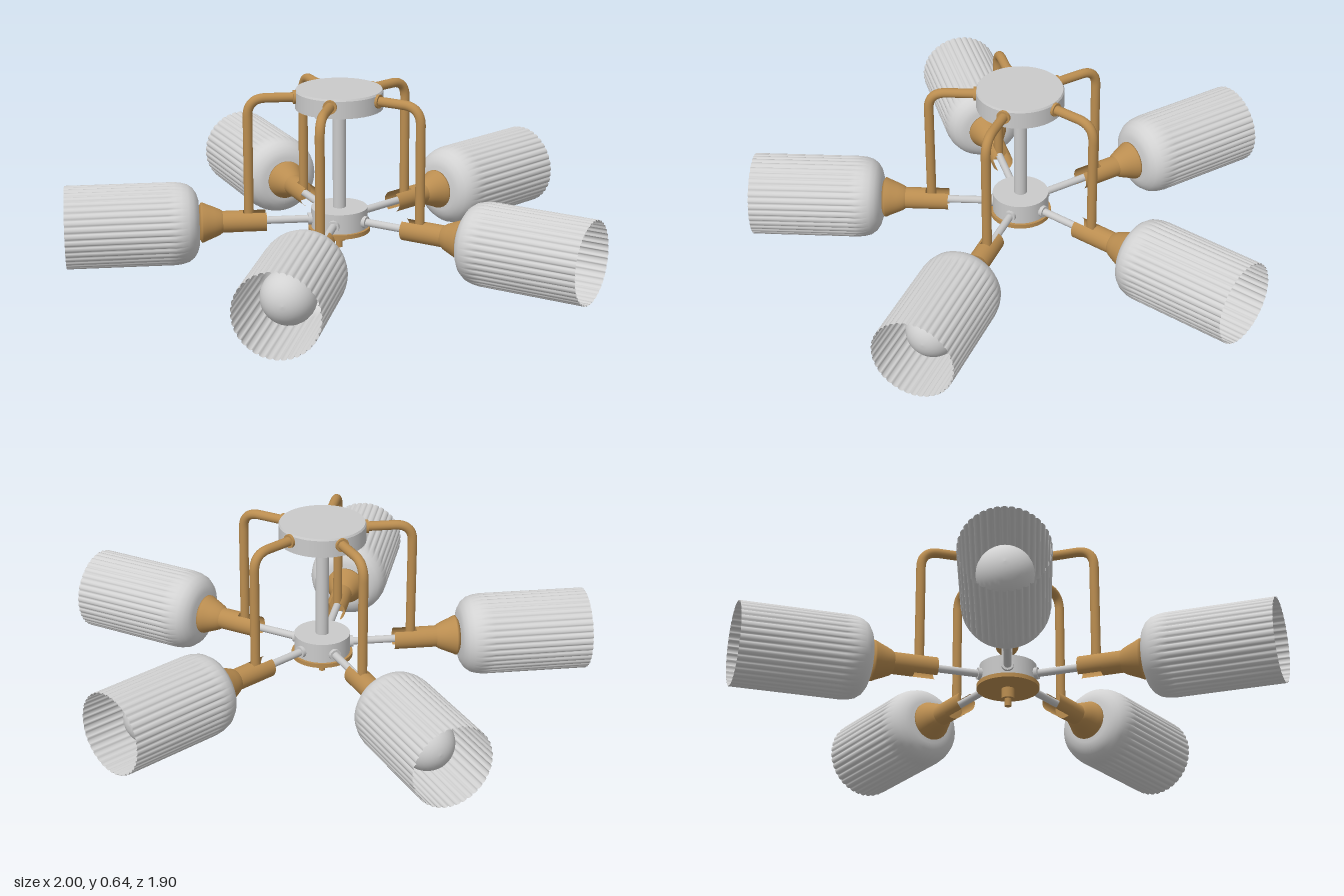
import * as THREE from 'three';

const brass = new THREE.MeshStandardMaterial({ color: 0xba8d50, side: THREE.DoubleSide });
brass.name = 'brass';
const steel = new THREE.MeshStandardMaterial({ color: 0xcacaca });
steel.name = 'paleMetal';
const glass = new THREE.MeshStandardMaterial({ color: 0xd2d2d2, side: THREE.DoubleSide });
glass.name = 'frostedGlass';

const AXIS_Y = 0.153; // height of the lamp axes
const CENTRE_Z = 0.049;
const RIBS = 38;

function add(parent, name, geometry, material) {
  const mesh = new THREE.Mesh(geometry, material);
  mesh.name = name;
  parent.add(mesh);
  return mesh;
}

// Upright cylinder between two heights
function post(parent, name, r, y0, y1, material, rTop = r) {
  const mesh = add(parent, name, new THREE.CylinderGeometry(rTop, r, y1 - y0, 40), material);
  mesh.position.y = (y0 + y1) / 2;
  return mesh;
}

// Cylinder lying along local +z between two distances
function rod(parent, name, r, z0, z1, y, material) {
  const geo = new THREE.CylinderGeometry(r, r, z1 - z0, 24).rotateX(Math.PI / 2);
  const mesh = add(parent, name, geo, material);
  mesh.position.set(0, y, (z0 + z1) / 2);
  return mesh;
}

// Lathe whose profile is [radius, distance along local +z]
function latheOut(points, segments) {
  const profile = points.map(([r, z]) => new THREE.Vector2(r, z));
  return new THREE.LatheGeometry(profile, segments).rotateX(Math.PI / 2);
}

// Domed shade with ribs pressed into its straight wall
function shadeGeometry() {
  const geo = latheOut([
    [0.03, 0.515], [0.085, 0.517], [0.108, 0.524], [0.128, 0.537], [0.142, 0.556],
    [0.149, 0.58], [0.152, 0.605], [0.152, 0.63], [0.152, 0.8], [0.152, 1.0],
  ], RIBS * 6);
  const p = geo.attributes.position;
  for (let i = 0; i < p.count; i++) {
    const x = p.getX(i), y = p.getY(i);
    const strength = THREE.MathUtils.smoothstep(p.getZ(i), 0.575, 0.63);
    const wave = Math.abs(Math.sin(Math.atan2(y, x) * RIBS / 2));
    const k = 1 - 0.04 * strength * (1 - Math.sqrt(wave));
    p.setXY(i, x * k, y * k);
  }
  geo.computeVertexNormals();
  return geo;
}

// Bracket tube bending from the canopy down to the lamp holder
function bracketGeometry() {
  const path = new THREE.CurvePath();
  const v = (y, z) => new THREE.Vector3(0, y, z);
  path.add(new THREE.LineCurve3(v(0.618, 0.12), v(0.618, 0.265)));
  path.add(new THREE.QuadraticBezierCurve3(v(0.618, 0.265), v(0.618, 0.333), v(0.55, 0.333)));
  path.add(new THREE.LineCurve3(v(0.55, 0.333), v(0.155, 0.333)));
  return new THREE.TubeGeometry(path, 70, 0.0175, 16);
}

function createArm(shade, bracket) {
  const arm = new THREE.Group();
  arm.name = 'arm';
  add(arm, 'bracketTube', bracket, brass);
  rod(arm, 'bracketCollar', 0.025, 0.14, 0.168, 0.618, brass);
  rod(arm, 'spoke', 0.014, 0.08, 0.36, AXIS_Y, steel);
  rod(arm, 'spokeCollar', 0.022, 0.09, 0.116, AXIS_Y, steel);

  const lamp = new THREE.Group();
  lamp.name = 'lamp';
  lamp.position.y = AXIS_Y;
  arm.add(lamp);

  // Forked sleeve: two curved prongs running into a flared cup
  for (const start of [0.5, Math.PI + 0.5]) {
    const geo = new THREE.CylinderGeometry(0.04, 0.04, 0.09, 16, 1, true, start, Math.PI - 1);
    add(lamp, 'holderProng', geo.rotateX(Math.PI / 2).translate(0, 0, 0.315), brass);
  }
  rod(lamp, 'holderSleeve', 0.04, 0.355, 0.445, 0, brass);
  add(lamp, 'holderCup', latheOut([
    [0.04, 0.43], [0.047, 0.44], [0.056, 0.46], [0.066, 0.485],
    [0.074, 0.502], [0.074, 0.508], [0.06, 0.516], [0, 0.518],
  ], 32), brass);

  add(lamp, 'shade', shade, glass);

  // Bulb: round globe narrowing to a neck
  const bulb = [[0.035, 0.515], [0.035, 0.63], [0.04, 0.68], [0.055, 0.73]];
  for (let i = 0; i <= 14; i++) {
    const a = THREE.MathUtils.lerp(0.7, Math.PI, i / 14);
    bulb.push([0.096 * Math.sin(a), 0.82 - 0.096 * Math.cos(a)]);
  }
  add(lamp, 'bulb', latheOut(bulb, 32), glass);
  return arm;
}

export function createModel() {
  const model = new THREE.Group();
  model.name = 'ceilingLight';
  const fixture = new THREE.Group();
  fixture.name = 'fixture';
  fixture.position.z = CENTRE_Z;
  model.add(fixture);

  // Ceiling canopy with two screws
  post(fixture, 'canopy', 0.16, 0.574, 0.638, steel);
  post(fixture, 'canopyTop', 0.16, 0.638, 0.645, steel, 0.156);
  for (const side of [-1, 1]) {
    post(fixture, 'canopyScrew', 0.013, 0.552, 0.576, steel).position.z = side * 0.1;
  }

  // Central stem, hub, base plate and finial
  post(fixture, 'stemCollar', 0.03, 0.556, 0.576, steel);
  post(fixture, 'stem', 0.024, 0.19, 0.575, steel);
  post(fixture, 'hub', 0.104, 0.122, 0.196, steel);
  post(fixture, 'basePlate', 0.114, 0.106, 0.122, brass);
  post(fixture, 'finial', 0.024, 0.068, 0.108, brass);
  post(fixture, 'finialTip', 0.012, 0.04, 0.07, brass);

  // Five arms, the first pointing straight back
  const shade = shadeGeometry();
  const bracket = bracketGeometry();
  for (let i = 0; i < 5; i++) {
    const arm = createArm(shade, bracket);
    arm.rotation.y = Math.PI + i * Math.PI * 2 / 5;
    fixture.add(arm);
  }
  return model;
}
